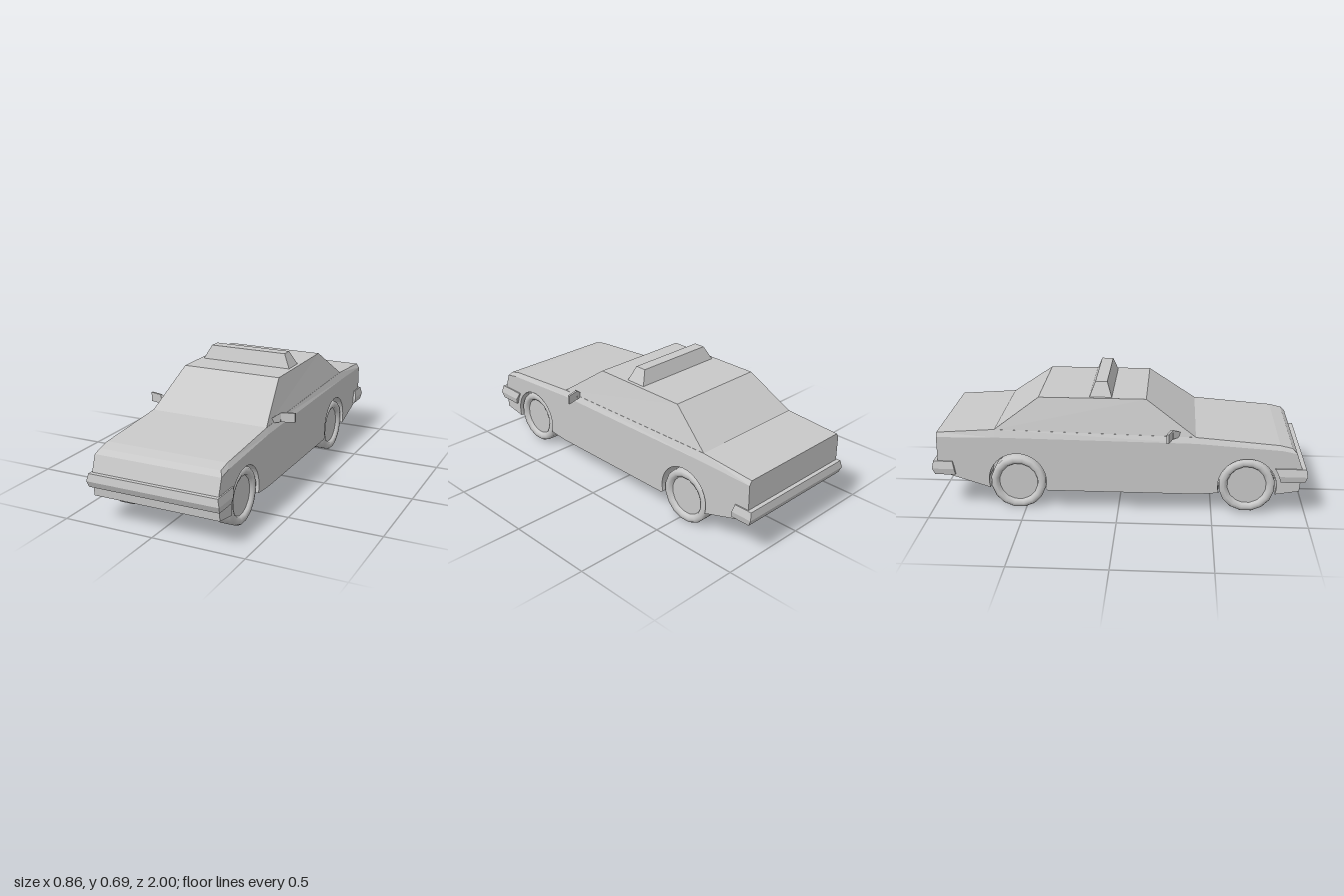
import * as THREE from 'three';
import { toCreasedNormals } from 'three/addons/utils/BufferGeometryUtils.js';

const paint = new THREE.MeshStandardMaterial({ color: 0xc8c8c8 });
paint.name = 'light grey';

// Flat-faced solid through rings of corners, each counterclockwise seen from the last ring's side
function loft(rings) {
  const pos = [];
  const tri = (a, b, c) => pos.push(...a, ...b, ...c);
  const n = rings[0].length, end = rings[rings.length - 1];
  for (let r = 0; r < rings.length - 1; r++) {
    for (let i = 0; i < n; i++) {
      const a = rings[r], b = rings[r + 1], j = (i + 1) % n;
      tri(a[i], a[j], b[j]);
      tri(a[i], b[j], b[i]);
    }
  }
  for (let i = 1; i < n - 1; i++) {
    tri(rings[0][0], rings[0][i + 1], rings[0][i]);
    tri(end[0], end[i], end[i + 1]);
  }
  const g = new THREE.BufferGeometry();
  g.setAttribute('position', new THREE.Float32BufferAttribute(pos, 3));
  g.computeVertexNormals();
  return g;
}

// Horizontal rectangle, half width x, front and back z; heights may differ
const rect = (x, zf, zb, yf, yb = yf) => [[-x, yf, zf], [x, yf, zf], [x, yb, zb], [-x, yb, zb]];

// Side outline of the lower body, with or without wheel arches
const wheelZ = { front: 0.685, rear: -0.54 };
function sideShape(arches) {
  const s = new THREE.Shape();
  s.moveTo(-0.94, 0.15);
  if (arches) s.absarc(wheelZ.rear, 0.165, 0.155, Math.PI + 0.28, -0.28, true);
  else s.lineTo(-0.69, 0.125);
  s.lineTo(-0.38, 0.112);
  s.lineTo(0.42, 0.112);
  if (arches) s.absarc(wheelZ.front, 0.165, 0.155, Math.PI + 0.28, -0.28, true);
  else s.lineTo(0.83, 0.125);
  [[0.96, 0.143], [0.97, 0.27], [0.94, 0.355], [0.865, 0.37], [0.41, 0.4],
    [-0.66, 0.41], [-0.97, 0.405], [-0.97, 0.21]].forEach(p => s.lineTo(...p));
  s.closePath();
  return s;
}

// Extrude a side outline between two x positions
function slab(shape, x0, x1) {
  const g = new THREE.ExtrudeGeometry(shape, { depth: x1 - x0, bevelEnabled: false, curveSegments: 14 });
  return g.rotateY(-Math.PI / 2).translate(x1, 0, 0);
}

export function createModel() {
  const car = new THREE.Group();
  car.name = 'car';
  const add = (name, geometry) => {
    const m = new THREE.Mesh(geometry, paint);
    m.name = name;
    car.add(m);
    return m;
  };

  // Lower body: plain centre and two flanks with wheel arches
  add('bodyCentre', slab(sideShape(false), -0.235, 0.235));
  add('leftFlank', slab(sideShape(true), 0.235, 0.35));
  add('rightFlank', slab(sideShape(true), -0.35, -0.235));

  // Bonnet, sloped shoulders and boot lid: [belt z, belt y, top z, top y]
  const stations = [
    [-0.97, 0.405, -0.97, 0.428], [-0.66, 0.41, -0.66, 0.45], [0.41, 0.4, 0.41, 0.43],
    [0.865, 0.37, 0.85, 0.395], [0.94, 0.355, 0.915, 0.38],
  ];
  add('upperDeck', loft(stations.map(([zb, yb, zt, yt]) =>
    [[-0.35, yb, zb], [0.35, yb, zb], [0.335, yt, zt], [-0.335, yt, zt]])));

  // Cabin and roof sign
  add('cabin', loft([rect(0.334, 0.41, -0.66, 0.429, 0.449), rect(0.283, 0.145, -0.425, 0.618)]));
  add('roofSign', loft([rect(0.264, -0.037, -0.157, 0.616), rect(0.224, -0.064, -0.127, 0.693)]));

  // Bumpers wrapping round the corners
  add('frontBumper', loft([
    rect(0.361, 0.985, 0.86, 0.196), rect(0.367, 1, 0.85, 0.23), rect(0.357, 0.993, 0.83, 0.27)]));
  add('rearBumper', loft([
    rect(0.361, -0.875, -0.985, 0.196), rect(0.367, -0.88, -1, 0.23), rect(0.357, -0.89, -0.993, 0.27)]));

  // Door mirrors: upright sections at x, given z and y ranges
  const section = (x, z0, z1, y0, y1) => [[x, y0, z1], [x, y0, z0], [x, y1, z0], [x, y1, z1]];
  const mirrorParts = {
    MirrorArm: [section(0.32, 0.29, 0.335, 0.427, 0.477), section(0.36, 0.275, 0.29, 0.427, 0.477)],
    MirrorPlate: [section(0.358, 0.276, 0.29, 0.427, 0.477), section(0.43, 0.256, 0.268, 0.427, 0.477)],
  };
  // The arm narrows towards the door
  mirrorParts.MirrorArm[0][2][1] = mirrorParts.MirrorArm[0][3][1] = 0.45;
  for (const [part, rings] of Object.entries(mirrorParts)) {
    add('left' + part, loft(rings));
    add('right' + part, loft(rings.map(r => r.map(([x, y, z]) => [-x, y, z])).reverse()));
  }

  // Wheels with a rounded sidewall and a dished hub
  const profile = [[0, 0.245], [0.146, 0.245], [0.149, 0.25], [0.149, 0.328], [0.142, 0.339],
    [0.125, 0.342], [0.11, 0.336], [0.104, 0.322], [0, 0.322]].map(p => new THREE.Vector2(...p));
  const wheel = toCreasedNormals(new THREE.LatheGeometry(profile, 16, Math.PI / 16), 1.1);
  for (const end of ['front', 'rear']) {
    for (const side of [1, -1]) {
      const m = add(end + (side > 0 ? 'Left' : 'Right') + 'Wheel', wheel);
      m.rotation.z = -side * Math.PI / 2;
      m.position.set(0, end === 'front' ? 0.161 : 0.149, wheelZ[end]);
    }
  }
  return car;
}
